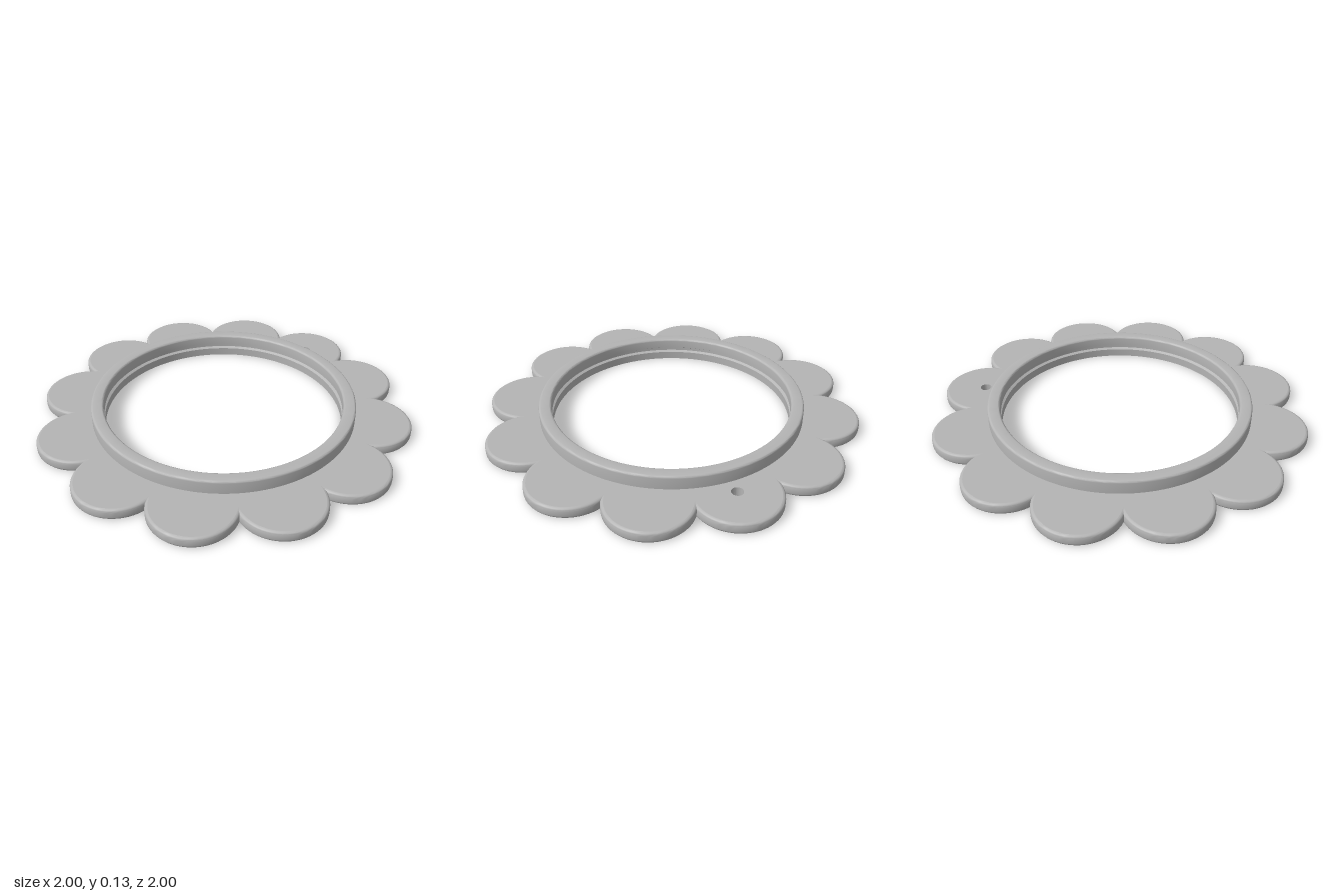
import * as THREE from 'three';
import { toCreasedNormals } from 'three/addons/utils/BufferGeometryUtils.js';

const PETALS = 12, PETAL_R = 0.22, PETAL_D = 0.78; // petal radius, distance from centre
const PLATE_H = 0.058, EDGE = 0.015;               // plate thickness, rounded edge
const RING_IN = 0.638, RING_OUT = 0.705, RING_H = 0.13;
const HOLE_R = 0.03, SEG = 128;

// Scalloped outline, counterclockwise, with each petal shrunk by inset
function outline(inset, steps = 28) {
  const r = PETAL_R - inset, half = Math.PI / PETALS, pts = [];
  const reach = half + Math.asin(PETAL_D * Math.sin(half) / r);
  for (let k = 0; k < PETALS; k++) {
    const a = k * 2 * half;
    for (let i = 0; i < steps; i++) {
      const f = a - reach + 2 * reach * i / steps;
      pts.push(new THREE.Vector2(
        PETAL_D * Math.cos(a) + r * Math.cos(f),
        PETAL_D * Math.sin(a) + r * Math.sin(f)));
    }
  }
  return pts;
}

// Flat plate face with the central opening and the small hanging hole
function plateFace(up) {
  const s = new THREE.Shape(outline(EDGE));
  const circle = (y, r, n) => new THREE.Path(Array.from({ length: n }, (_, i) => {
    const a = -2 * Math.PI * i / n;
    return new THREE.Vector2(r * Math.cos(a), y + r * Math.sin(a));
  }));
  s.holes.push(circle(0, up ? RING_OUT : RING_IN, SEG), circle(up ? PETAL_D : -PETAL_D, HOLE_R, 24));
  return new THREE.ShapeGeometry(s).rotateX(up ? -Math.PI / 2 : Math.PI / 2).translate(0, up ? PLATE_H : 0, 0);
}

// Rounded scalloped edge, lofted through shrinking outlines
function plateEdge() {
  const rows = [], n = 4;
  for (let i = 0; i <= n; i++) {
    const t = i / n * Math.PI / 2;
    rows.push([EDGE * (1 - Math.sin(t)), EDGE * (1 - Math.cos(t))]);
  }
  for (let i = n; i >= 0; i--) rows.push([rows[i][0], PLATE_H - rows[i][1]]);
  const pos = [], index = [];
  let count = 0;
  rows.forEach(([inset, y]) => {
    const pts = outline(inset);
    count = pts.length;
    pts.forEach(p => pos.push(p.x, y, -p.y));
  });
  for (let k = 0; k < rows.length - 1; k++) {
    for (let i = 0; i < count; i++) {
      const j = (i + 1) % count;
      const a = k * count + i, b = k * count + j, c = b + count, d = a + count;
      index.push(a, b, c, a, c, d);
    }
  }
  const g = new THREE.BufferGeometry();
  g.setAttribute('position', new THREE.Float32BufferAttribute(pos, 3));
  g.setIndex(index);
  return toCreasedNormals(g, 0.6);
}

const lathe = (points, seg) => toCreasedNormals(
  new THREE.LatheGeometry(points.map(p => new THREE.Vector2(...p)), seg), 0.5);

// Raised rim: outer wall, rounded top, inner wall with a shallow groove
function rimProfile() {
  const f = 0.012, pts = [[RING_OUT, PLATE_H]];
  const corner = (cx, from) => {
    for (let i = 0; i <= 4; i++) {
      const t = from + i / 4 * Math.PI / 2;
      pts.push([cx + f * Math.cos(t), RING_H - f + f * Math.sin(t)]);
    }
  };
  corner(RING_OUT - f, 0);
  corner(RING_IN + f, Math.PI / 2);
  pts.push([RING_IN, 0.076], [RING_IN + 0.014, 0.068], [RING_IN + 0.014, 0.052], [RING_IN, 0.044], [RING_IN, 0]);
  return pts;
}

export function createModel() {
  const group = new THREE.Group();
  const grey = new THREE.MeshStandardMaterial({ color: 0xb4b4b4 });
  grey.name = 'grey';
  const add = (name, geometry) => {
    const mesh = new THREE.Mesh(geometry, grey);
    mesh.name = name;
    group.add(mesh);
    return mesh;
  };

  add('plateTop', plateFace(true));
  add('plateBottom', plateFace(false));
  add('petalEdge', plateEdge());
  add('rim', lathe(rimProfile(), SEG));
  // Profile runs downwards so the wall faces into the hole
  add('hangingHole', lathe([[HOLE_R, PLATE_H], [HOLE_R, 0]], 24)).position.z = -PETAL_D;
  return group;
}
